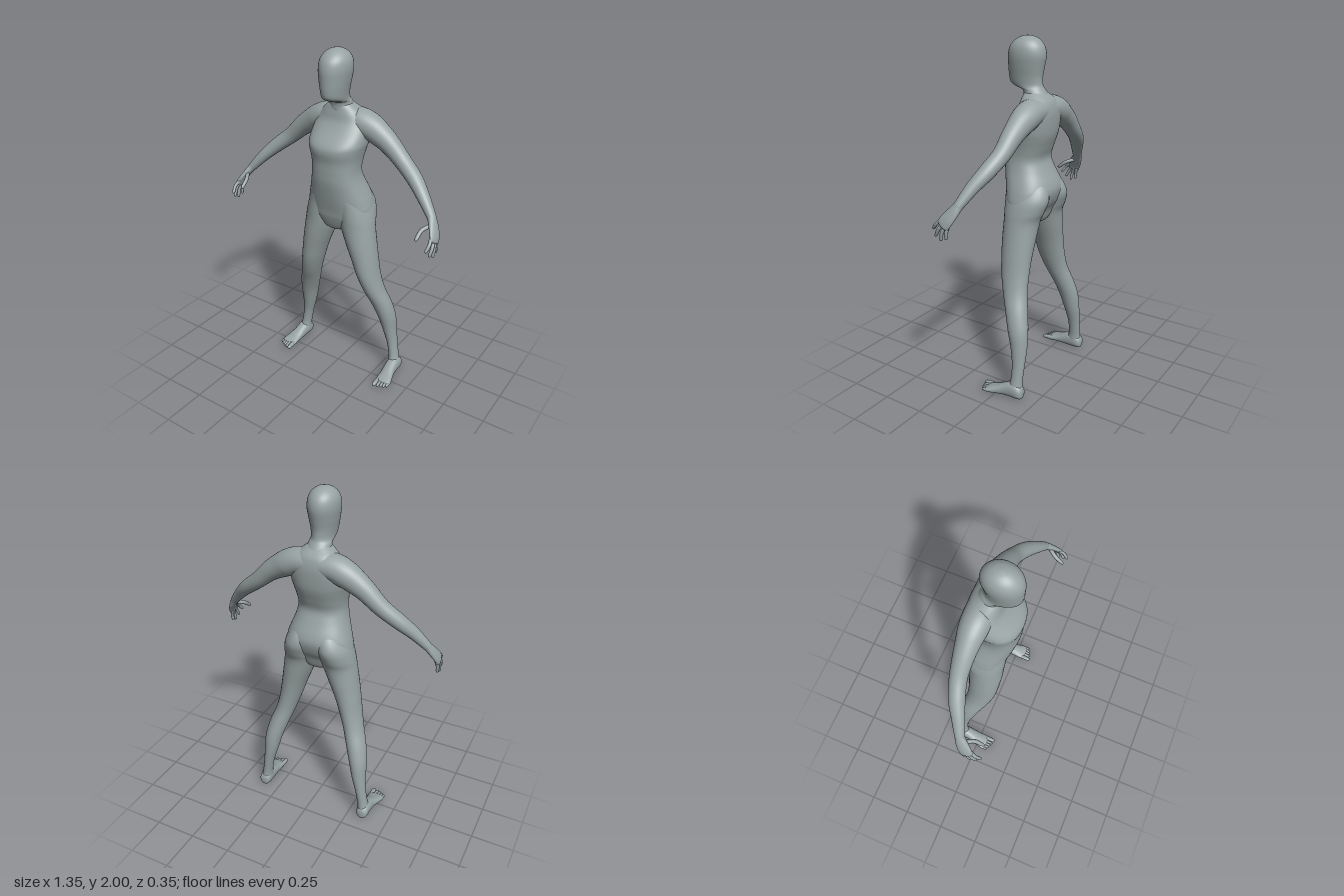
import * as THREE from 'three';

const X = new THREE.Vector3(1, 0, 0);
const Y = new THREE.Vector3(0, 1, 0);
const Z = new THREE.Vector3(0, 0, 1);

// Smooth closed loft through sections [x, y, z, halfU, halfV].
// ref sets the U axis; dir fixes the ring normal (otherwise rings follow the path); n is roundness.
function loft(sections, { ref = X, dir = null, n = 2, seg = 32, sub = 5 } = {}) {
  const path = new THREE.CatmullRomCurve3(
    sections.map(s => new THREE.Vector3(s[0], s[1], s[2])), false, 'catmullrom', 0.5);
  const size = new THREE.CatmullRomCurve3(
    sections.map(s => new THREE.Vector3(s[3], s[4], 0)), false, 'catmullrom', 0.5);
  const rows = (sections.length - 1) * sub;
  const pos = [], index = [];
  const bulge = v => Math.sign(v) * Math.abs(v) ** (2 / n);
  for (let i = 0; i <= rows; i++) {
    const c = path.getPoint(i / rows), r = size.getPoint(i / rows);
    const t = dir || path.getTangent(i / rows);
    const u = ref.clone().addScaledVector(t, -ref.dot(t)).normalize();
    const v = t.clone().cross(u);
    for (let j = 0; j < seg; j++) {
      const a = (j / seg) * Math.PI * 2;
      const p = c.clone()
        .addScaledVector(u, bulge(Math.cos(a)) * r.x)
        .addScaledVector(v, bulge(Math.sin(a)) * r.y);
      pos.push(p.x, p.y, p.z);
    }
  }
  for (let i = 0; i < rows; i++) {
    for (let j = 0; j < seg; j++) {
      const k = (j + 1) % seg, a = i * seg, b = a + seg;
      index.push(a + j, a + k, b + k, a + j, b + k, b + j);
    }
  }
  // end caps
  const first = sections[0], last = sections[sections.length - 1];
  const c0 = pos.length / 3, end = rows * seg;
  pos.push(...first.slice(0, 3), ...last.slice(0, 3));
  for (let j = 0; j < seg; j++) {
    const k = (j + 1) % seg;
    index.push(c0, k, j, c0 + 1, end + j, end + k);
  }
  const g = new THREE.BufferGeometry();
  g.setAttribute('position', new THREE.Float32BufferAttribute(pos, 3));
  g.setIndex(index);
  g.computeVertexNormals();
  return g;
}

// Upright section from height, centre x, half width, front z and back z
const slice = (y, x, w, front, back) => [x, y, (front + back) / 2, w, (front - back) / 2];

// Round-ended finger or toe from base to tip, bowed by a middle point
function digit(base, mid, tip, r) {
  const at = (p, q, f) => p.map((v, i) => v + (q[i] - v) * f);
  return loft([
    [...base, r, r], [...mid, r, r], [...at(mid, tip, 0.7), r * 0.9, r * 0.9],
    [...at(mid, tip, 0.93), r * 0.6, r * 0.6], [...tip, r * 0.12, r * 0.12],
  ], { seg: 12, sub: 4 });
}

export function createModel() {
  const model = new THREE.Group();
  const skin = new THREE.MeshStandardMaterial({ color: 0x98a3a3 });
  skin.name = 'grey skin';
  const add = (name, geometry, parent = model) => {
    const mesh = new THREE.Mesh(geometry, skin);
    mesh.name = name;
    parent.add(mesh);
  };

  // Head and neck
  add('headAndNeck', loft([
    slice(1.62, 0, 0.09, 0.02, -0.125), slice(1.67, 0, 0.076, 0.028, -0.115),
    slice(1.70, 0, 0.066, 0.03, -0.098), slice(1.718, 0, 0.062, 0.04, -0.086),
    slice(1.732, 0, 0.061, 0.088, -0.078), slice(1.752, 0, 0.063, 0.12, -0.074),
    slice(1.79, 0, 0.069, 0.129, -0.074), slice(1.84, 0, 0.078, 0.131, -0.083),
    slice(1.895, 0, 0.085, 0.131, -0.092), slice(1.94, 0, 0.081, 0.119, -0.084),
    slice(1.972, 0, 0.064, 0.092, -0.062), slice(1.992, 0, 0.037, 0.058, -0.03),
    slice(2.0, 0, 0.008, 0.025, 0.005),
  ], { dir: Y, seg: 40 }));

  // Torso from crotch to base of neck
  add('torso', loft([
    slice(0.962, 0, 0.03, 0.03, -0.06), slice(0.985, 0, 0.09, 0.06, -0.10),
    slice(1.05, 0, 0.17, 0.083, -0.125), slice(1.10, 0, 0.198, 0.092, -0.152),
    slice(1.16, 0, 0.188, 0.105, -0.168), slice(1.21, 0, 0.172, 0.115, -0.158),
    slice(1.28, 0, 0.149, 0.127, -0.125), slice(1.34, 0, 0.139, 0.13, -0.104),
    slice(1.40, 0, 0.143, 0.132, -0.12), slice(1.46, 0, 0.156, 0.141, -0.14),
    slice(1.50, 0, 0.165, 0.128, -0.148), slice(1.56, 0, 0.165, 0.076, -0.152),
    slice(1.61, 0, 0.15, 0.042, -0.15), slice(1.66, 0, 0.115, 0.03, -0.135),
    slice(1.695, 0, 0.075, 0.022, -0.10), slice(1.72, 0, 0.04, 0.01, -0.07),
  ], { dir: Y, n: 2.35, seg: 48 }));

  // Shoulders and both arms as one sweep from wrist to wrist
  const arm = [
    [0.10, 1.605, -0.068, 0.08, 0.074], [0.165, 1.582, -0.07, 0.076, 0.074],
    [0.22, 1.552, -0.07, 0.066, 0.067], [0.285, 1.508, -0.069, 0.057, 0.057],
    [0.37, 1.432, -0.063, 0.048, 0.047], [0.46, 1.36, -0.037, 0.045, 0.042],
    [0.535, 1.289, 0.0, 0.037, 0.034], [0.60, 1.215, 0.032, 0.028, 0.025],
    [0.615, 1.197, 0.041, 0.026, 0.02],
  ];
  const flip = ([x, ...rest]) => [-x, ...rest];
  add('shouldersAndArms', loft(
    [...arm.map(flip).reverse(), [0, 1.61, -0.067, 0.08, 0.07], ...arm], { ref: Z }));

  for (const s of [1, -1]) {
    const side = s > 0 ? 'left' : 'right';
    const m = list => list.map(([x, ...rest]) => [s * x, ...rest]);

    // Hand: palm, four fingers and thumb
    const hand = new THREE.Group();
    hand.name = side + 'Hand';
    model.add(hand);
    add('palm', loft(m([
      [0.585, 1.232, 0.025, 0.025, 0.022], [0.608, 1.205, 0.037, 0.028, 0.022],
      [0.63, 1.172, 0.056, 0.036, 0.019], [0.65, 1.135, 0.08, 0.041, 0.016],
      [0.66, 1.108, 0.097, 0.038, 0.013], [0.663, 1.1, 0.102, 0.02, 0.006],
    ]), { ref: Z, seg: 24 }), hand);
    const fingers = [
      [[0.647, 1.135, 0.112], [0.655, 1.108, 0.142], [0.648, 1.072, 0.172]],
      [[0.652, 1.125, 0.095], [0.663, 1.086, 0.122], [0.66, 1.04, 0.148]],
      [[0.653, 1.115, 0.08], [0.664, 1.072, 0.1], [0.663, 1.022, 0.112]],
      [[0.652, 1.11, 0.065], [0.662, 1.075, 0.074], [0.661, 1.034, 0.078]],
    ];
    for (const f of fingers) add('finger', digit(...m(f), 0.0095), hand);
    add('thumb', digit(...m([[0.617, 1.175, 0.065], [0.59, 1.158, 0.11], [0.583, 1.118, 0.164]]), 0.0115), hand);

    // Leg from buttock to ankle
    const leg = [
      [1.26, 0.075, 0.05, 0.08, -0.09], [1.20, 0.082, 0.078, 0.095, -0.152],
      [1.13, 0.098, 0.096, 0.088, -0.175], [1.06, 0.112, 0.1, 0.084, -0.155],
      [1.0, 0.121, 0.1, 0.081, -0.13], [0.90, 0.147, 0.088, 0.079, -0.121],
      [0.80, 0.174, 0.075, 0.071, -0.114], [0.70, 0.198, 0.065, 0.059, -0.112],
      [0.60, 0.226, 0.059, 0.03, -0.119], [0.50, 0.26, 0.059, -0.01, -0.143],
      [0.40, 0.287, 0.053, -0.042, -0.164], [0.30, 0.302, 0.042, -0.069, -0.169],
      [0.20, 0.32, 0.032, -0.088, -0.165], [0.11, 0.335, 0.03, -0.088, -0.161],
      [0.06, 0.342, 0.034, -0.075, -0.163], [0.03, 0.345, 0.03, -0.07, -0.158],
    ];
    add(side + 'Leg', loft(m(leg.map(([y, x, w, f, b]) => slice(y, x, w, f, b))),
      { dir: Y.clone().negate() }));

    // Foot with five toes
    const foot = new THREE.Group();
    foot.name = side + 'Foot';
    model.add(foot);
    add('sole', loft(m([
      [0.345, 0.035, -0.172, 0.012, 0.014], [0.345, 0.038, -0.164, 0.029, 0.033],
      [0.345, 0.045, -0.14, 0.037, 0.045], [0.345, 0.047, -0.10, 0.038, 0.047],
      [0.348, 0.037, -0.05, 0.038, 0.037], [0.355, 0.026, -0.005, 0.043, 0.026],
      [0.36, 0.019, 0.035, 0.049, 0.018], [0.361, 0.015, 0.057, 0.046, 0.012],
      [0.361, 0.014, 0.064, 0.036, 0.006],
    ]), { dir: Z, n: 2.3 }), foot);
    const toes = [[0.326, 0.106, 0.0135], [0.349, 0.1, 0.0095], [0.367, 0.093, 0.009],
      [0.384, 0.085, 0.009], [0.4, 0.074, 0.0085]];
    for (const [x, tip, r] of toes) {
      add('toe', digit(...m([[x, 0.016, 0.03], [x, 0.017, 0.062], [x, 0.012, tip]]), r), foot);
    }
  }
  return model;
}
